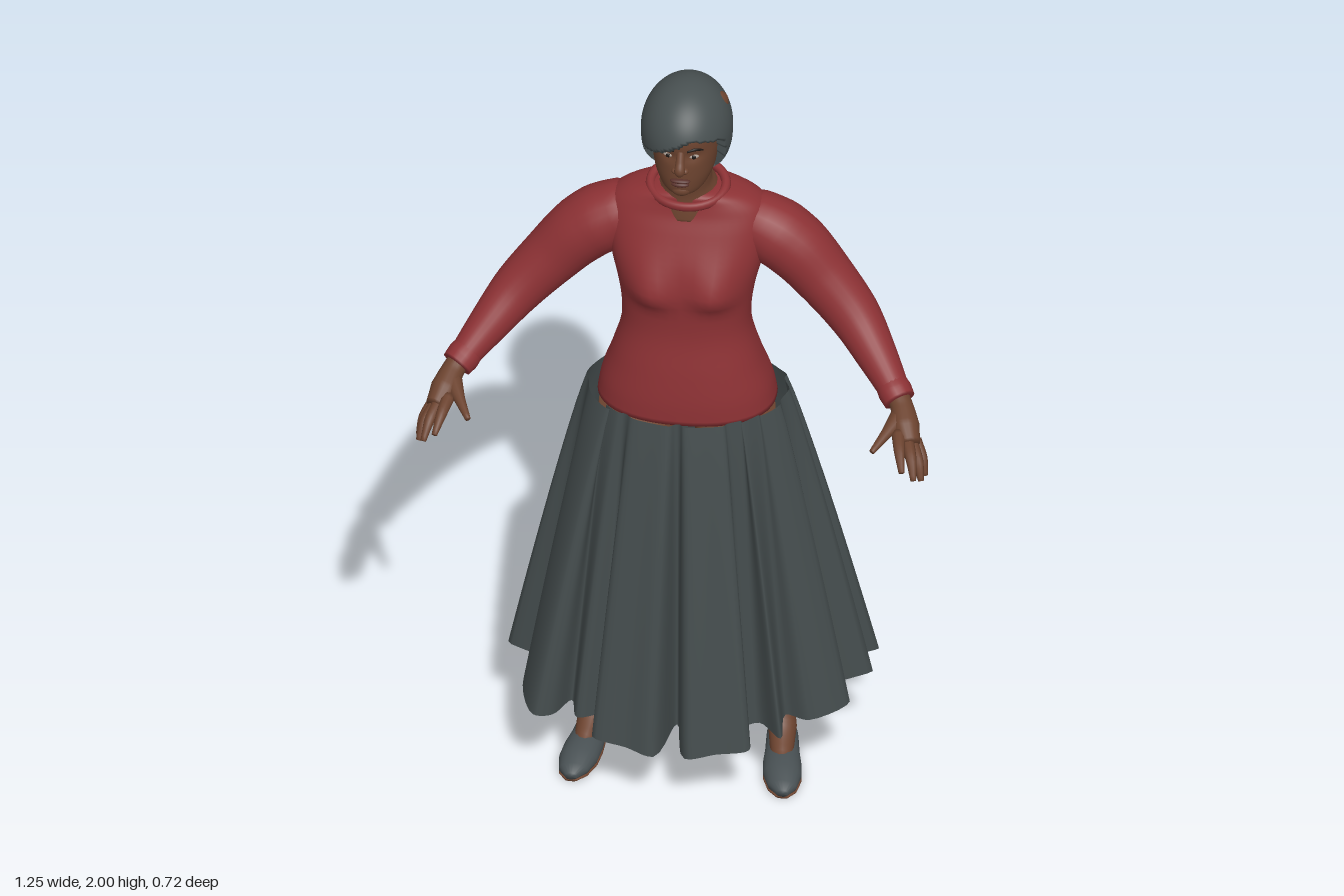
import * as THREE from 'three';

const mat = (name, color, side = THREE.FrontSide) => {
  const m = new THREE.MeshStandardMaterial({ color, side });
  m.name = name;
  return m;
};
const V = (x, y, z) => new THREE.Vector3(x, y, z);

// Surface through closed rings of points
function skin(rings, cap = true) {
  if (cap) {
    const collapse = r => {
      const c = r.reduce((a, p) => a.add(p), V(0, 0, 0)).divideScalar(r.length);
      return r.map(() => c.clone());
    };
    rings = [collapse(rings[0]), ...rings, collapse(rings[rings.length - 1])];
  }
  const n = rings[0].length, index = [];
  for (let i = 0; i < rings.length - 1; i++) {
    for (let j = 0; j < n; j++) {
      const a = i * n + j, b = i * n + (j + 1) % n;
      index.push(a, b, a + n, b, b + n, a + n);
    }
  }
  const g = new THREE.BufferGeometry().setFromPoints(rings.flat());
  g.setIndex(index);
  g.computeVertexNormals();
  return g;
}

// Round limb: points are [x, y, z, radius], s mirrors it
function limb(pts, s = 1, steps = 20, n = 18) {
  const curve = new THREE.CatmullRomCurve3(pts.map(p => V(p[0] * s, p[1], p[2])));
  const f = curve.computeFrenetFrames(steps);
  const rings = [];
  for (let i = 0; i <= steps; i++) {
    const u = i / steps, c = curve.getPointAt(u);
    const t = curve.getUtoTmapping(u) * (pts.length - 1);
    const k = Math.min(pts.length - 2, Math.floor(t));
    const r = THREE.MathUtils.lerp(pts[k][3], pts[k + 1][3], t - k);
    rings.push(Array.from({ length: n }, (_, j) => {
      const a = j / n * Math.PI * 2;
      return c.clone().addScaledVector(f.normals[i], r * Math.cos(a)).addScaledVector(f.binormals[i], r * Math.sin(a));
    }));
  }
  return skin(rings);
}

// Upright body: sections are [y, halfWidth, zFront, zBack], smoothed in between; power below 1 squares it
function body(sections, bump, power, n = 48, steps = 48) {
  const a = new THREE.CatmullRomCurve3(sections.map(s => V(s[0], s[1], 0)));
  const b = new THREE.CatmullRomCurve3(sections.map(s => V(s[0], s[2], s[3])));
  const sq = v => Math.sign(v) * Math.abs(v) ** power;
  return skin(Array.from({ length: steps + 1 }, (_, i) => {
    const p = a.getPoint(i / steps), q = b.getPoint(i / steps);
    return Array.from({ length: n }, (_, j) => {
      const t = j / n * Math.PI * 2, x = p.y * sq(Math.cos(t)), sz = sq(-Math.sin(t));
      return V(x, p.x, (q.y + q.z) / 2 + (q.y - q.z) / 2 * sz + (sz > 0 ? bump(x, p.x) * sz : 0));
    });
  }));
}

// Foot shape lying along z: sections are [z, halfWidth, height]
function footShape(sections, s, y0, flat) {
  return skin(sections.map(([z, w, h]) => Array.from({ length: 20 }, (_, j) => {
    const t = j / 20 * Math.PI * 2, k = Math.sin(t), base = flat ? 0.004 : 0.012;
    const y = k > 0 ? base + (flat ? 0.003 : h - base) * k : base * (1 - Math.sqrt(-k));
    return V(s * 0.232 + w * Math.cos(t) + s * z * 0.13, y0 + y, z);
  })));
}

export function createModel() {
  const root = new THREE.Group();
  const red = mat('red knit', 0x8c3134);
  const cloth = mat('skirt cloth', 0x444c4d, THREE.DoubleSide);
  const hairMat = mat('hair', 0x485051);
  const shoeMat = mat('shoe grey', 0x495154);
  const skinMat = mat('skin', 0x6c432f);
  const lipMat = mat('lips', 0x57302a);
  const white = mat('eye white', 0xa79a90);
  const dark = mat('pupil', 0x1c1715);
  const add = (name, geo, m, parent = root) => {
    const mesh = new THREE.Mesh(geo, m);
    mesh.name = name;
    parent.add(mesh);
    return mesh;
  };
  const blob = (name, m, p, r, rot = [0, 0, 0], parent = root) => {
    const mesh = add(name, new THREE.SphereGeometry(1, 20, 14), m, parent);
    mesh.position.set(...p);
    mesh.scale.set(...r);
    mesh.rotation.set(...rot);
  };

  // Sweater body with a soft bust
  const bust = (x, y) => 0.034 * Math.exp(-(((Math.abs(x) - 0.085) / 0.06) ** 2) - ((y - 1.425) / (y < 1.425 ? 0.03 : 0.075)) ** 2);
  add('sweater', body([
    [1.065, 0.218, 0.15, -0.16], [1.12, 0.208, 0.148, -0.148], [1.2, 0.182, 0.138, -0.122], [1.3, 0.157, 0.122, -0.1],
    [1.4, 0.164, 0.122, -0.108], [1.5, 0.188, 0.11, -0.125], [1.58, 0.2, 0.08, -0.132], [1.625, 0.19, 0.06, -0.125],
    [1.655, 0.155, 0.052, -0.11], [1.675, 0.105, 0.05, -0.095], [1.683, 0.07, 0.045, -0.08]], bust, 0.88), red);

  // Collar, higher at the back
  const collar = add('collar', new THREE.TorusGeometry(0.085, 0.011, 12, 40), red);
  collar.rotation.x = Math.PI / 2 + 0.25;
  collar.position.set(0, 1.677, -0.016);
  collar.scale.set(1.08, 0.9, 1.2);

  for (const s of [1, -1]) {
    const side = s > 0 ? 'left' : 'right';
    // Sleeve and cuff
    add(side + 'Sleeve', limb([[0.09, 1.585, -0.037, 0.05], [0.16, 1.567, -0.035, 0.078], [0.215, 1.538, -0.032, 0.086], [0.265, 1.5, -0.027, 0.083],
      [0.33, 1.43, -0.015, 0.074], [0.41, 1.345, 0.02, 0.064], [0.475, 1.275, 0.085, 0.05], [0.535, 1.213, 0.158, 0.035]], s, 36, 24), red);
    add(side + 'Cuff', limb([[0.515, 1.233, 0.133, 0.039], [0.527, 1.221, 0.148, 0.042], [0.541, 1.207, 0.165, 0.039]], s, 8, 20), red);

    // Hand
    const hand = new THREE.Group();
    hand.name = side + 'Hand';
    root.add(hand);
    add('palm', limb([[0.53, 1.218, 0.15, 0.028], [0.548, 1.2, 0.18, 0.028], [0.562, 1.175, 0.222, 0.035], [0.578, 1.15, 0.262, 0.026]], s), skinMat, hand);
    const fingers = [
      [[0.549, 1.172, 0.25], [0.559, 1.158, 0.305], [0.57, 1.128, 0.35]],
      [[0.57, 1.158, 0.255], [0.587, 1.14, 0.305], [0.598, 1.102, 0.343]],
      [[0.58, 1.145, 0.247], [0.602, 1.122, 0.29], [0.613, 1.083, 0.316]],
      [[0.586, 1.14, 0.23], [0.608, 1.11, 0.26], [0.618, 1.072, 0.278]],
      [[0.548, 1.187, 0.2], [0.52, 1.175, 0.262], [0.493, 1.158, 0.315]]];
    fingers.forEach((f, i) => add(i < 4 ? 'finger' : 'thumb',
      limb(f.map((p, k) => [...p, [i < 4 ? 0.017 : 0.026, 0.0135, 0.007][k]]), s, 10, 10), skinMat, hand));

    // Leg, foot and flat shoe
    add(side + 'Leg', limb([[0.115, 1.02, 0, 0.1], [0.13, 0.85, 0.01, 0.1], [0.175, 0.55, 0, 0.065],
      [0.205, 0.35, -0.03, 0.058], [0.22, 0.2, -0.037, 0.04], [0.226, 0.11, -0.034, 0.033], [0.228, 0.04, -0.03, 0.034]], s, 28, 20), skinMat);
    add(side + 'Foot', limb([[0.227, 0.12, -0.03, 0.03], [0.232, 0.07, 0, 0.035], [0.24, 0.036, 0.07, 0.027], [0.245, 0.03, 0.1, 0.02]], s), skinMat);
    const shoe = [[-0.078, 0.018, 0.045], [-0.066, 0.031, 0.068], [-0.03, 0.039, 0.062], [0.03, 0.042, 0.046],
      [0.08, 0.047, 0.05], [0.13, 0.047, 0.047], [0.175, 0.035, 0.034], [0.198, 0.014, 0.02]];
    add(side + 'Shoe', footShape(shoe, s, 0.005, false), shoeMat);
    add(side + 'Sole', footShape(shoe, s, 0, true), skinMat);
  }

  // Flared skirt: deep folds at the hem easing into the waist
  const hemPoints = [[0, 0.185], [0.035, 0.315], [0.11, 0.3], [0.19, 0.283], [0.165, 0.2], [0.2, 0.18], [0.26, 0.24], [0.26, 0.15],
    [0.32, 0.17], [0.41, 0.1], [0.34, 0.05], [0.45, -0.02], [0.35, -0.07], [0.45, -0.13], [0.32, -0.15], [0.2, -0.2],
    [0.225, -0.335], [0.14, -0.24], [0.08, -0.325], [0, -0.36], [0, -0.24], [-0.1, -0.23], [-0.22, -0.34], [-0.21, -0.21],
    [-0.285, -0.325], [-0.26, -0.19], [-0.37, -0.26], [-0.32, -0.13], [-0.44, -0.02], [-0.35, 0.03], [-0.385, 0.11],
    [-0.345, 0.235], [-0.3, 0.225], [-0.26, 0.16], [-0.24, 0.22], [-0.175, 0.19], [-0.195, 0.28], [-0.11, 0.3], [-0.04, 0.318]];
  const hem = new THREE.CatmullRomCurve3(hemPoints.map(([x, z]) => V(x, 0, z)), true).getPoints(hemPoints.length * 5).slice(0, -1);
  hem.forEach(p => { p.y = 0.2 + 0.045 * Math.min(1, Math.abs(p.x) / 0.44) - (p.z < 0 ? 0.04 : 0.02) * Math.abs(p.z) / 0.33; });
  const waist = hem.map(p => {
    const a = Math.atan2(p.x / 0.44, p.z / 0.32);
    return V(0.228 * Math.sin(a), 1.085, 0.003 + 0.167 * Math.cos(a)).lerp(V(p.x, 1.085, p.z), 0.09);
  });
  const rows = 16;
  add('skirt', skin(Array.from({ length: rows + 1 }, (_, i) => {
    const t = 1 - i / rows, k = Math.pow(t, 0.9);
    return hem.map((p, j) => V(
      THREE.MathUtils.lerp(waist[j].x, p.x, k),
      THREE.MathUtils.lerp(waist[j].y, p.y, t),
      THREE.MathUtils.lerp(waist[j].z, p.z, k)));
  }), false), cloth);

  // Neck and face
  add('neck', limb([[0, 1.62, -0.02, 0.085], [0, 1.67, -0.015, 0.076], [0, 1.705, -0.004, 0.06], [0, 1.8, 0.015, 0.058]]), skinMat);
  add('face', body([[1.735, 0.03, 0.112, 0.03], [1.747, 0.05, 0.124, 0], [1.78, 0.07, 0.13, -0.05], [1.82, 0.079, 0.13, -0.07],
    [1.86, 0.083, 0.127, -0.08], [1.9, 0.08, 0.126, -0.08], [1.94, 0.065, 0.11, -0.06]],
  (x, y) => -0.007 * Math.exp(-(((Math.abs(x) - 0.032) / 0.018) ** 2) - ((y - 1.856) / 0.014) ** 2), 1), skinMat);
  add('nose', limb([[0, 1.872, 0.118, 0.009], [0, 1.845, 0.132, 0.011], [0, 1.826, 0.141, 0.0135], [0, 1.816, 0.134, 0.01]]), skinMat);
  blob('upperLip', lipMat, [0, 1.79, 0.13], [0.025, 0.006, 0.01]);
  blob('lowerLip', lipMat, [0, 1.779, 0.129], [0.022, 0.007, 0.01]);
  blob('chin', skinMat, [0, 1.754, 0.112], [0.025, 0.018, 0.018]);
  for (const s of [1, -1]) {
    blob('nostril', skinMat, [s * 0.012, 1.821, 0.131], [0.009, 0.008, 0.01]);
    blob('eye', white, [s * 0.032, 1.855, 0.114], [0.012, 0.005, 0.005], [0, s * 0.35, 0]);
    blob('pupil', dark, [s * 0.031, 1.855, 0.1175], [0.006, 0.0055, 0.003]);
    add('eyebrow', limb([[0.016, 1.874, 0.124, 0.003], [0.034, 1.879, 0.119, 0.004], [0.053, 1.872, 0.106, 0.002]], s, 8, 8), dark);
  }

  // Hair cap: full and lower at the back, tucked in behind a swept hairline
  const hair = new THREE.SphereGeometry(1, 96, 72);
  const pos = hair.attributes.position;
  for (let i = 0; i < pos.count; i++) {
    const u = V(0, 0, 0).fromBufferAttribute(pos, i);
    const h = Math.hypot(u.x, u.z);
    const f = u.y < 0 && h > 1e-4 ? Math.sqrt(1 - Math.abs(u.y) ** 2.8) / h : 1;
    const p = V(u.x * f * 0.111, 1.872 + u.y * 0.128, 0.008 + u.z * f * 0.138);
    p.y += 0.03 * Math.max(0, -u.y) * u.z * f;
    const hairline = 1.908 - Math.max(0, 0.03 - p.x) * 0.5 - Math.max(0, p.x - 0.04) * 0.4;
    if (p.z > 0.04 + 0.3 * (p.y - 1.76) && p.y < hairline) p.sub(V(0, 1.86, 0)).multiplyScalar(0.6).add(V(0, 1.86, 0));
    pos.setXYZ(i, p.x, p.y, p.z);
  }
  hair.computeVertexNormals();
  add('hair', hair, hairMat);
  blob('napeHair', hairMat, [0, 1.765, -0.062], [0.076, 0.058, 0.062], [0.4, 0, 0]);
  blob('scalpPatch', skinMat, [0.083, 1.941, -0.008], [0.012, 0.022, 0.022], [0.5, 0, 0.6]);

  // Braid of alternating tilted strands
  const braid = new THREE.Group();
  braid.name = 'braid';
  root.add(braid);
  const path = new THREE.CatmullRomCurve3([V(0, 1.745, -0.1), V(0, 1.67, -0.128), V(0, 1.58, -0.145), V(0, 1.48, -0.155), V(0, 1.39, -0.15)]);
  for (let i = 0; i < 16; i++) {
    const c = path.getPoint(i / 15), s = i % 2 ? 1 : -1, w = 1 - 0.5 * i / 15;
    blob('strand', hairMat, [s * 0.021 * w, c.y, c.z], [0.025 * w, 0.044 * w, 0.031 * w], [0.1, 0, -s * 0.6], braid);
  }
  add('braidTip', limb([[0, 1.395, -0.15, 0.013], [0, 1.37, -0.149, 0.02], [0, 1.345, -0.148, 0.014], [0, 1.31, -0.145, 0.002]], 1, 14, 12), hairMat, braid);

  return root;
}
